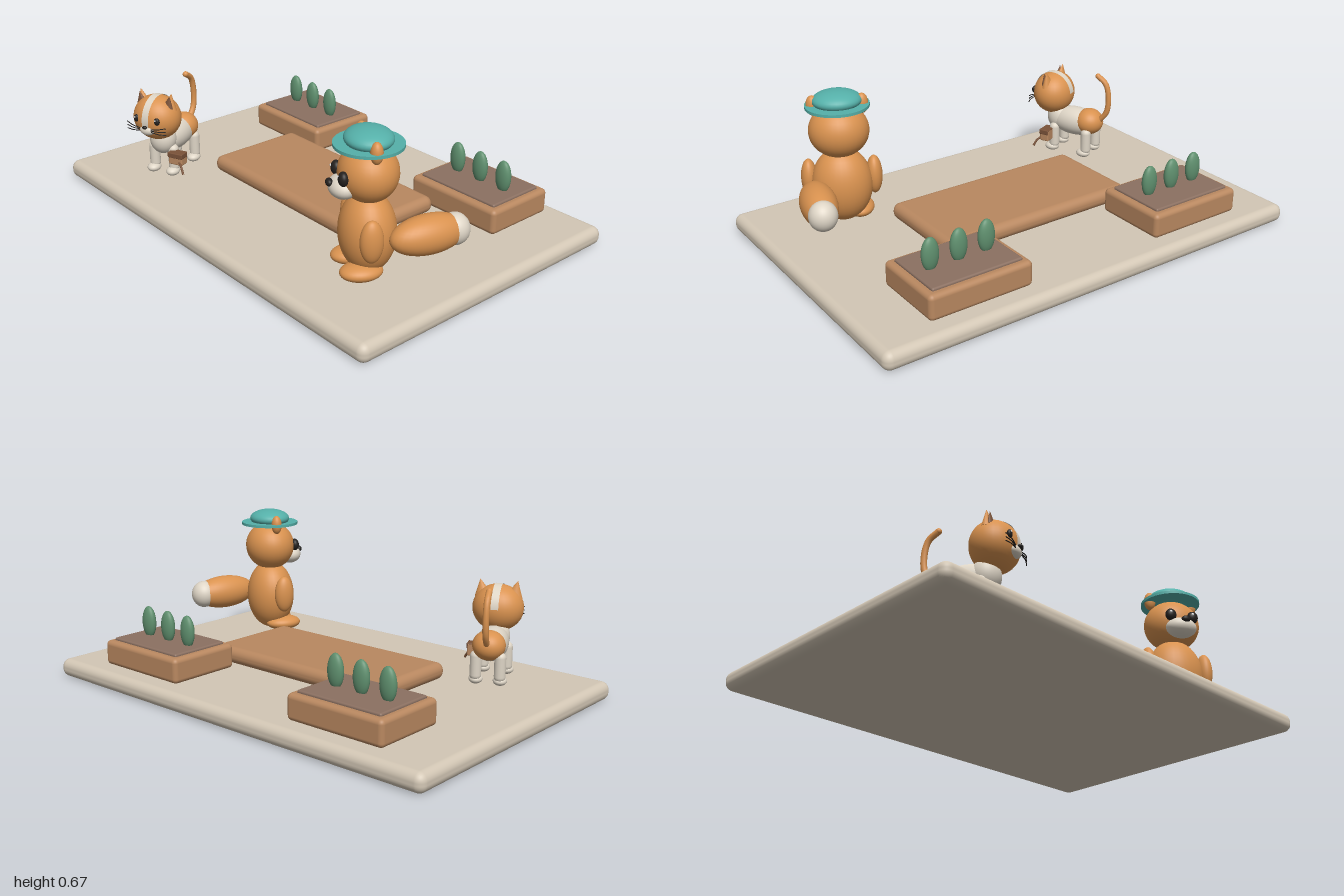
import * as THREE from 'three';
import { RoundedBoxGeometry } from 'three/addons/geometries/RoundedBoxGeometry.js';

const mat = (name, color, side = THREE.FrontSide) => {
  const m = new THREE.MeshStandardMaterial({ color, side });
  m.name = name;
  return m;
};

export function createModel() {
  const stone = mat('stone', 0xd3c7b5);
  const wood = mat('wood', 0xb98860);
  const soil = mat('soil', 0x8b7061);
  const leaf = mat('leaf', 0x5f8f6e);
  const fur = mat('orange fur', 0xd9924f);
  const cream = mat('cream fur', 0xded5c6);
  const teal = mat('teal cloth', 0x55b0a9);
  const dark = mat('dark', 0x24211f);
  const brown = mat('ear brown', 0x7a5238);
  const white = mat('eye shine', 0xffffff);

  const sphere = new THREE.SphereGeometry(1, 32, 22);
  const add = (parent, name, geo, material, x = 0, y = 0, z = 0) => {
    const m = new THREE.Mesh(geo, material);
    m.name = name;
    m.position.set(x, y, z);
    parent.add(m);
    return m;
  };
  // Ellipsoid from centre and three radii
  const ball = (parent, name, material, p, r) => {
    const m = add(parent, name, sphere, material, ...p);
    m.scale.set(...r);
    return m;
  };
  const box = (parent, name, material, p, s, r) =>
    add(parent, name, new RoundedBoxGeometry(...s, 4, r), material, ...p);
  const tube = (parent, name, material, pts, r) => {
    const curve = new THREE.CatmullRomCurve3(pts.map(p => new THREE.Vector3(...p)));
    return add(parent, name, new THREE.TubeGeometry(curve, 24, r, 10), material);
  };
  const group = (parent, name, x, z, yaw = 0) => {
    const g = new THREE.Group();
    g.name = name;
    g.position.set(x, 0, z);
    g.rotation.y = yaw;
    parent.add(g);
    return g;
  };

  const model = new THREE.Group();
  model.name = 'gardenScene';

  // Ground slab and low platform
  box(model, 'groundSlab', stone, [0, 0.04, 0], [2, 0.08, 1.33], 0.035);
  box(model, 'platform', wood, [0, 0.12, -0.003], [0.935, 0.073, 0.455], 0.034);

  // Planters with three shrubs each
  for (const s of [-1, 1]) {
    const planter = group(model, 'planter', s * 0.54, -0.418);
    box(planter, 'planterBox', wood, [0, 0.138, 0], [0.458, 0.108, 0.333], 0.02);
    box(planter, 'soil', soil, [0, 0.188, 0], [0.4, 0.03, 0.273], 0.008);
    for (const x of [-0.125, 0, 0.125])
      ball(planter, 'shrub', leaf, [x, 0.26, -0.002], [0.037, 0.07, 0.024]);
  }

  // Standing animal with a hat
  const fox = group(model, 'fox', 0.64, 0.315, -0.47);
  ball(fox, 'body', fur, [0, 0.26, 0], [0.127, 0.162, 0.11]);
  ball(fox, 'head', fur, [0, 0.5, 0], [0.125, 0.113, 0.114]);
  ball(fox, 'muzzle', cream, [0, 0.452, 0.095], [0.07, 0.044, 0.055]);
  ball(fox, 'nose', dark, [0, 0.473, 0.146], [0.02, 0.015, 0.014]);
  for (const s of [-1, 1]) {
    ball(fox, 'eye', dark, [s * 0.052, 0.504, 0.107], [0.025, 0.028, 0.02]);
    ball(fox, 'eyeShine', white, [s * 0.052 - 0.006, 0.512, 0.125], [0.006, 0.006, 0.004]);
    ball(fox, 'ear', fur, [s * 0.1, 0.613, 0], [0.026, 0.043, 0.024]);
    ball(fox, 'arm', fur, [s * 0.135, 0.284, 0.022], [0.034, 0.085, 0.045]);
    ball(fox, 'foot', fur, [s * 0.068, 0.13, 0.04], [0.06, 0.034, 0.083]);
  }
  const tail = ball(fox, 'tail', fur, [0.095, 0.268, -0.205], [0.075, 0.077, 0.158]);
  const tip = ball(fox, 'tailTip', cream, [0.077, 0.268, -0.313], [0.059, 0.063, 0.058]);
  tail.rotation.y = tip.rotation.y = 0.19;
  add(fox, 'hatBrim', new THREE.CylinderGeometry(0.132, 0.132, 0.012, 40), teal, 0, 0.61, 0);
  ball(fox, 'hatCrown', teal, [0, 0.632, 0], [0.102, 0.042, 0.092]);

  // Four-legged animal
  const cat = group(model, 'cat', -0.62, 0.33, 0.4);
  ball(cat, 'body', cream, [0, 0.245, 0], [0.067, 0.068, 0.135]);
  ball(cat, 'hindFur', fur, [0, 0.256, -0.075], [0.068, 0.062, 0.068]);
  ball(cat, 'chest', cream, [0, 0.255, 0.085], [0.06, 0.07, 0.058]);
  for (const x of [-0.05, 0.05]) for (const z of [-0.085, 0.085]) {
    add(cat, 'leg', new THREE.CapsuleGeometry(0.024, 0.08, 6, 16), cream, x, 0.17, z);
    ball(cat, 'paw', cream, [x, 0.11, z + 0.012], [0.029, 0.02, 0.034]);
  }
  tube(cat, 'tail', fur, [[0, 0.26, -0.12], [0, 0.32, -0.165], [0, 0.4, -0.172],
    [0, 0.46, -0.155], [0, 0.49, -0.115]], 0.013);
  ball(cat, 'tailEnd', fur, [0, 0.49, -0.115], [0.013, 0.013, 0.013]);

  const head = group(cat, 'head', 0, 0.118);
  head.position.y = 0.37;
  ball(head, 'skull', fur, [0, 0, 0], [0.108, 0.1, 0.095]);
  // Pale band over the crown, from the brow to the nape
  const band = add(head, 'crownStripe', new THREE.CylinderGeometry(1, 1, 0.032, 40, 1, true,
    -0.2, Math.PI + 0.1), cream);
  band.material = mat('cream fur', 0xded5c6, THREE.DoubleSide);
  band.rotation.z = Math.PI / 2;
  band.rotation.y = 0;
  band.scale.set(0.1015, 1, 0.0965);
  ball(head, 'muzzle', cream, [0, -0.035, 0.08], [0.036, 0.023, 0.023]);
  ball(head, 'nose', dark, [0, -0.017, 0.1], [0.011, 0.008, 0.008]);
  for (const s of [-1, 1]) {
    const ear = add(head, 'ear', new THREE.ConeGeometry(0.036, 0.07, 20), fur, s * 0.072, 0.084, 0);
    ear.scale.z = 0.65;
    const inner = add(head, 'innerEar', new THREE.ConeGeometry(0.025, 0.052, 20), brown, s * 0.072, 0.084, 0.013);
    inner.scale.z = 0.55;
    ear.rotation.z = inner.rotation.z = -s * 0.2;
    ball(head, 'eye', dark, [s * 0.052, 0.012, 0.081], [0.014, 0.017, 0.01]);
    ball(head, 'eyeShine', white, [s * 0.052 - 0.004, 0.018, 0.089], [0.004, 0.004, 0.003]);
    for (const k of [-1, 0, 1])
      tube(head, 'whisker', dark, [[s * 0.028, -0.03 + k * 0.006, 0.094],
        [s * 0.065, -0.028 + k * 0.011, 0.095], [s * 0.1, -0.025 + k * 0.016, 0.085]], 0.002);
  }

  // Small satchel with a trailing handle
  const bag = box(cat, 'satchel', wood, [0.085, 0.183, 0.105], [0.07, 0.055, 0.045], 0.006);
  box(bag, 'satchelFlap', brown, [0, 0.017, 0.002], [0.074, 0.024, 0.048], 0.004);
  tube(cat, 'handle', brown, [[0.1, 0.175, 0.12], [0.125, 0.155, 0.14], [0.14, 0.13, 0.15]], 0.005);

  return model;
}
